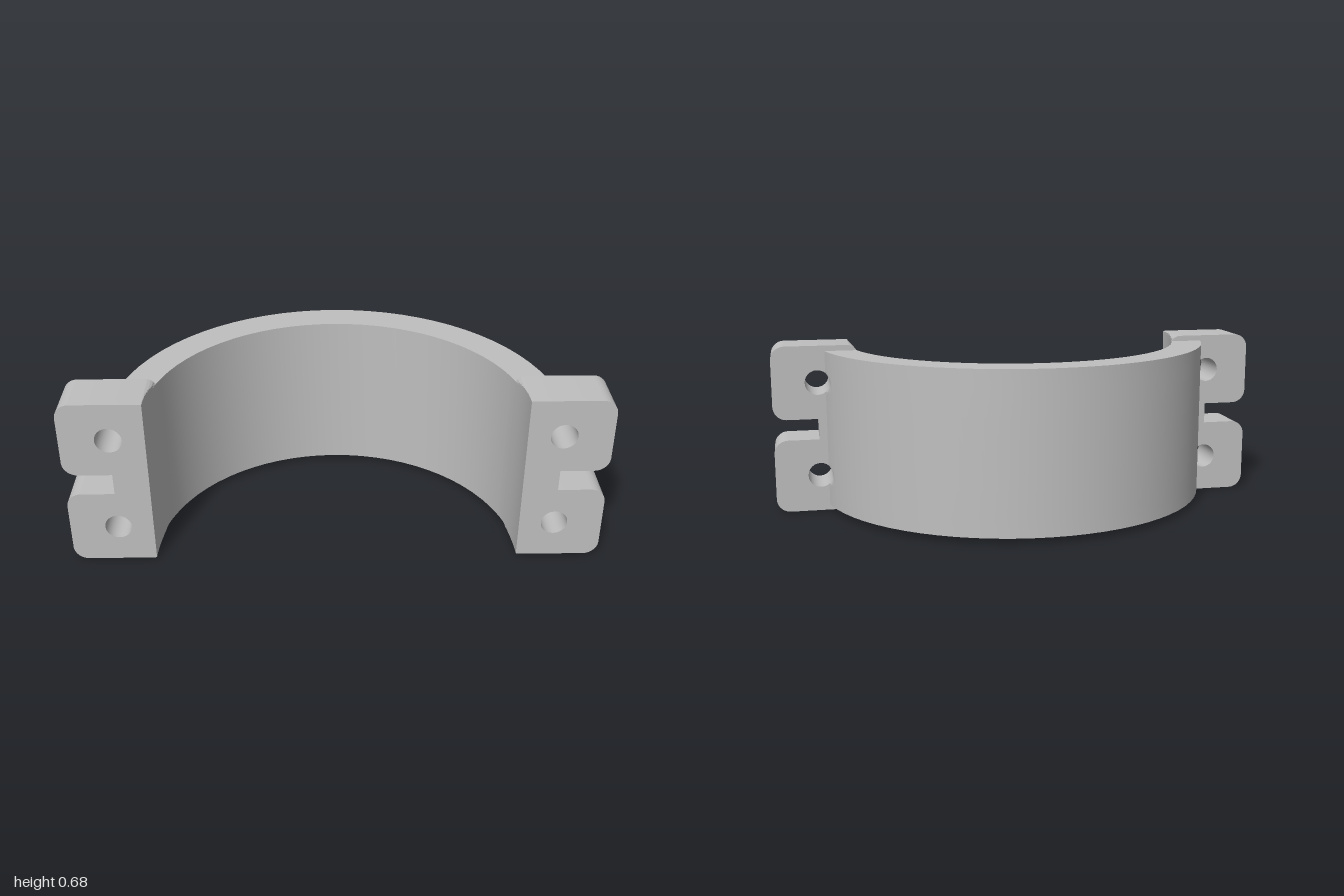
import * as THREE from 'three';
import { toCreasedNormals } from 'three/addons/utils/BufferGeometryUtils.js';

const H = 0.676;                 // flange height
const FRONT = 0.404;             // mating plane, also the ring axis
const BACK = 0.216;              // rear face of the flanges
const HOLE_X = 0.82, HOLE_R = 0.05, HOLES_Y = [0.148, 0.528];
const OUTER = 0.81, INNER_X = 0.688, INNER_Z = 0.678;

// Half ring, lofted from cross-sections, with screw clearance grooves at its ends
function ringGeometry() {
  const y0 = 0.022, y1 = 0.654;
  const ys = [y0];
  for (const c of HOLES_Y) {
    for (let k = 0; k <= 16; k++) ys.push(c - HOLE_R * Math.cos((k / 16) * Math.PI));
  }
  ys.push(y1);

  const a0 = 0.234, a1 = 0.335;
  const angles = [];
  for (let i = 0; i < 10; i++) angles.push(a0 + ((a1 - a0) * i) / 10);
  for (let i = 0; i <= 28; i++) angles.push(a1 + ((Math.PI - 2 * a1) * i) / 28);
  for (let i = 9; i >= 0; i--) angles.push(Math.PI - a0 - ((a1 - a0) * i) / 10);

  const grooveLimit = (y) => {
    for (const c of HOLES_Y) {
      const d = Math.abs(y - c);
      if (d < HOLE_R) return HOLE_X - Math.sqrt(HOLE_R * HOLE_R - d * d);
    }
    return 1;
  };

  const pos = [], index = [];
  const n = ys.length + 2;
  for (const a of angles) {
    const x = OUTER * Math.cos(a), z = FRONT - OUTER * Math.sin(a);
    for (const y of ys) pos.push(Math.sign(x) * Math.min(Math.abs(x), grooveLimit(y)), y, z);
    const ix = INNER_X * Math.cos(a), iz = FRONT - INNER_Z * Math.sin(a);
    pos.push(ix, y1, iz, ix, y0, iz);
  }
  for (let i = 0; i < angles.length - 1; i++) {
    for (let j = 0; j < n; j++) {
      const a = i * n + j, d = i * n + ((j + 1) % n);
      index.push(a, a + n, d, a + n, d + n, d);
    }
  }
  const g = new THREE.BufferGeometry();
  g.setAttribute('position', new THREE.Float32BufferAttribute(pos, 3));
  g.setIndex(index);
  return toCreasedNormals(g, 0.5);
}

// Slotted flange with two screw holes; its inner face follows the bore
function flangeGeometry() {
  const r = 0.055, f = 0.045, xi = 0.655, slotX = 0.82, s0 = 0.296, s1 = 0.38;
  const q = Math.PI / 2;
  const s = new THREE.Shape();
  s.moveTo(xi + f, 0);
  s.absarc(1 - r, r, r, -q, 0, false);
  s.absarc(1 - r, s0 - r, r, 0, q, false);
  s.lineTo(slotX, s0);
  s.lineTo(slotX, s1);
  s.absarc(1 - r, s1 + r, r, -q, 0, false);
  s.absarc(1 - r, H - r, r, 0, q, false);
  s.absarc(xi + f, H - f, f, q, 2 * q, false);
  s.absarc(xi + f, f, f, 2 * q, 3 * q, false);
  for (const y of HOLES_Y) {
    const hole = new THREE.Path();
    hole.absarc(HOLE_X, y, HOLE_R, 0, Math.PI * 2, true);
    s.holes.push(hole);
  }
  const g = new THREE.ExtrudeGeometry(s, {
    depth: FRONT - BACK, steps: 6, bevelEnabled: false, curveSegments: 12,
  });
  g.translate(0, 0, BACK);
  const p = g.attributes.position;
  for (let i = 0; i < p.count; i++) {
    const t = (FRONT - p.getZ(i)) / INNER_Z;
    p.setX(i, Math.max(p.getX(i), INNER_X * Math.sqrt(1 - t * t)));
  }
  return toCreasedNormals(g, 0.5);
}

export function createModel() {
  const group = new THREE.Group();
  group.name = 'pipeClampHalf';
  const metal = new THREE.MeshStandardMaterial({ color: 0xbfbfbf });
  metal.name = 'grey metal';

  const ring = new THREE.Mesh(ringGeometry(), metal);
  ring.name = 'halfRing';

  const geometry = flangeGeometry();
  const left = new THREE.Mesh(geometry, metal);
  left.name = 'leftFlange';

  // The flange is symmetric top to bottom, so half a turn mirrors it
  const right = new THREE.Mesh(geometry, metal);
  right.name = 'rightFlange';
  right.rotation.z = Math.PI;
  right.position.y = H;

  group.add(ring, left, right);
  return group;
}
